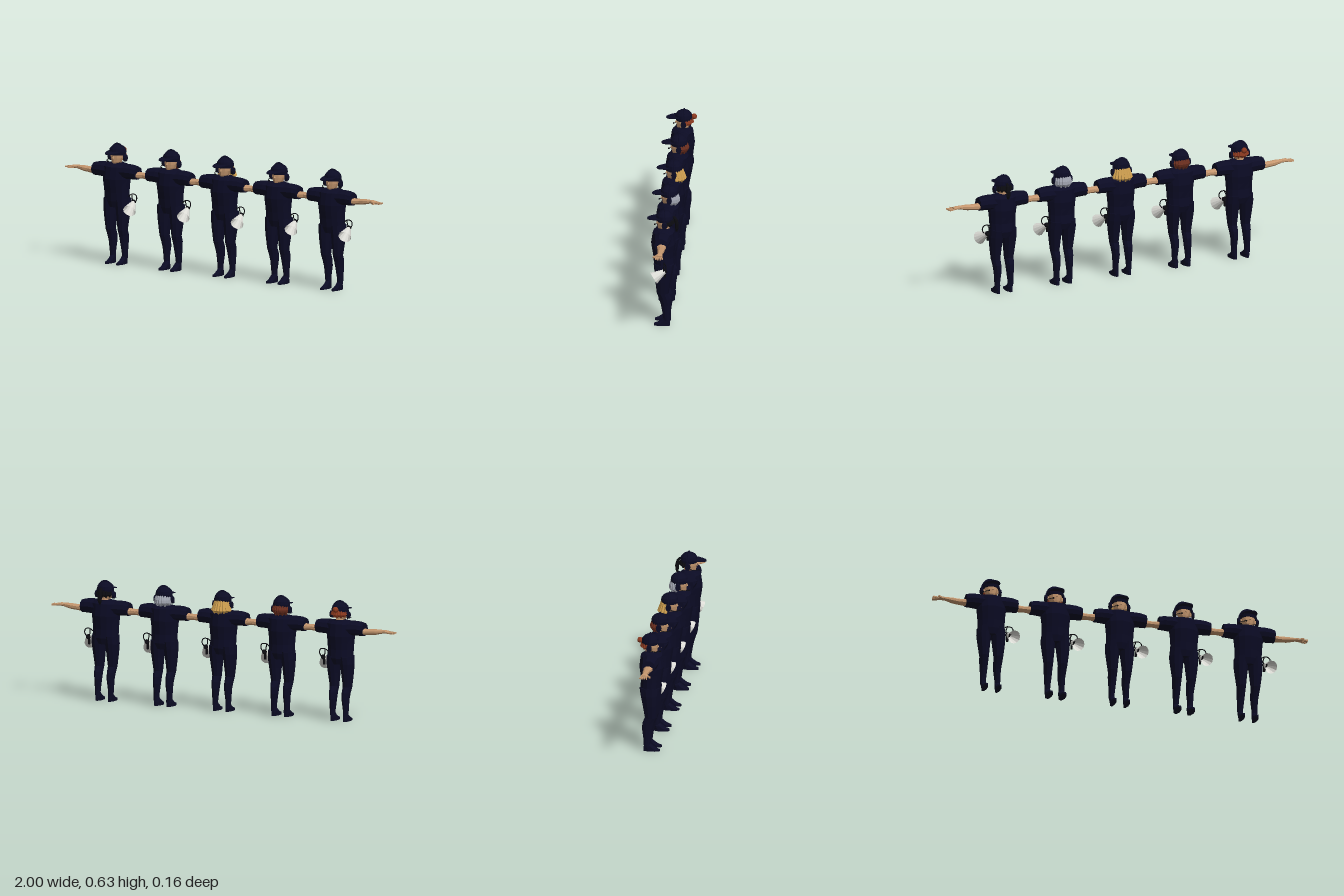
import * as THREE from 'three';

const mat = (name, color, side = THREE.FrontSide) => {
  const m = new THREE.MeshStandardMaterial({ color, side });
  m.name = name;
  return m;
};

// Faceted normals for the low-poly look
function flat(geo) {
  const g = geo.index ? geo.toNonIndexed() : geo;
  g.computeVertexNormals();
  return g;
}

// Closed tube of elliptical rings [y, centreX, centreZ, radiusX, radiusZ], listed bottom to top
function loft(rings, sides = 10) {
  const pos = [], idx = [];
  rings.forEach(([y, cx, cz, rx, rz]) => {
    for (let i = 0; i < sides; i++) {
      const a = ((i + 0.5) / sides) * Math.PI * 2;
      pos.push(cx + rx * Math.cos(a), y, cz + rz * Math.sin(a));
    }
  });
  for (let j = 0; j < rings.length - 1; j++)
    for (let i = 0; i < sides; i++) {
      const a = j * sides + i, b = j * sides + (i + 1) % sides;
      idx.push(a, a + sides, b, b, a + sides, b + sides);
    }
  const last = (rings.length - 1) * sides;
  for (let i = 1; i < sides - 1; i++) idx.push(0, i, i + 1, last, last + i + 1, last + i);
  const g = new THREE.BufferGeometry();
  g.setAttribute('position', new THREE.Float32BufferAttribute(pos, 3));
  g.setIndex(idx);
  return flat(g);
}

// The same along x; rings are [x, centreY, centreZ, radiusY, radiusZ], s is the side
const loftX = (rings, s, sides) =>
  loft(rings.map(([x, cy, cz, ry, rz]) => [x, -s * cy, cz, ry, rz]), sides).rotateZ(-s * Math.PI / 2);

const wire = (points, r) => new THREE.TubeGeometry(
  new THREE.CatmullRomCurve3(points.map(p => new THREE.Vector3(...p))), 12, r, 5);

export function createModel() {
  const navy = mat('navy cloth', 0x0b0b24);
  const black = mat('black', 0x0b0b10);
  const skin = mat('skin', 0xc4966e);
  const white = mat('megaphone white', 0xdcdcd6, THREE.DoubleSide);
  const red = mat('red hair', 0x8c3a20);
  const auburn = mat('auburn hair', 0x6e3020);
  const blond = mat('blond hair', 0xd0a050);
  const grey = mat('grey hair', 0xa4a8b4);

  const add = (parent, name, geo, material, x = 0, y = 0, z = 0) => {
    const m = new THREE.Mesh(geo, material);
    m.name = name;
    m.position.set(x, y, z);
    parent.add(m);
    return m;
  };
  const ball = (parent, name, material, x, y, z, rx, ry, rz) =>
    add(parent, name, flat(new THREE.SphereGeometry(1, 10, 7).scale(rx, ry, rz)), material, x, y, z);

  function addLimbs(f, s, shoeWidth) {
    // Trouser leg and shoe
    add(f, 'leg', loft([
      [0.03, s * 0.038, -0.022, 0.014, 0.017],
      [0.06, s * 0.038, -0.021, 0.015, 0.019],
      [0.115, s * 0.036, -0.020, 0.019, 0.028],
      [0.15, s * 0.037, -0.014, 0.022, 0.032],
      [0.18, s * 0.038, -0.002, 0.024, 0.031],
      [0.25, s * 0.039, -0.004, 0.032, 0.041],
      [0.30, s * 0.039, -0.007, 0.037, 0.048],
      [0.34, s * 0.036, -0.008, 0.037, 0.053]]), navy);
    const w = 0.0145 * shoeWidth, x = s * 0.036;
    add(f, 'shoe', loft([
      [0, x, 0.0025, w, 0.045], [0.010, x, 0.0025, w, 0.045],
      [0.018, x, -0.008, w, 0.034], [0.027, x, -0.014, w, 0.026],
      [0.042, x, -0.022, 0.013, 0.016]], 8), navy);

    // Short sleeve
    add(f, 'sleeve', loftX([
      [0.03, 0.482, -0.003, 0.041, 0.046], [0.075, 0.486, -0.001, 0.039, 0.044],
      [0.11, 0.486, 0, 0.037, 0.040], [0.137, 0.483, 0, 0.034, 0.035]], s), navy);
    // Bare arm and palm
    add(f, 'arm', loftX([
      [0.12, 0.472, -0.002, 0.018, 0.028], [0.15, 0.472, -0.002, 0.016, 0.022],
      [0.18, 0.474, -0.004, 0.015, 0.018], [0.205, 0.476, -0.003, 0.015, 0.018],
      [0.25, 0.481, -0.002, 0.009, 0.011]], s, 8), skin);
    add(f, 'palm', loftX([
      [0.245, 0.481, -0.002, 0.009, 0.011], [0.262, 0.481, -0.001, 0.009, 0.017],
      [0.284, 0.479, -0.002, 0.007, 0.018]], s, 8), skin);
    // Fingers fan out, thumb to the front
    for (let i = 0; i < 4; i++) {
      const z = 0.012 - i * 0.009, angle = -0.18 + i * 0.14;
      const fin = add(f, 'finger', flat(new THREE.BoxGeometry(i === 3 ? 0.026 : 0.034, 0.007, 0.007)),
        skin, s * 0.297, 0.477, z * 1.08);
      fin.rotation.y = s * angle;
    }
    const thumb = add(f, 'thumb', flat(new THREE.BoxGeometry(0.032, 0.008, 0.009)), skin, s * 0.275, 0.477, 0.02);
    thumb.rotation.y = -s * 0.6;

    // Ear cup of the headset
    const cup = add(f, 'earCup', flat(new THREE.CylinderGeometry(0.014, 0.016, 0.013, 10)
      .rotateZ(-s * Math.PI / 2).scale(1, 1.25, 0.9)), navy, s * 0.049, 0.553, -0.011);
    cup.userData.side = s;
    add(f, 'ear', flat(new THREE.BoxGeometry(0.008, 0.018, 0.01)), skin, s * 0.037, 0.555, -0.011);
  }

  function addHead(f) {
    add(f, 'neck', loft([[0.5, 0, -0.012, 0.024, 0.026], [0.54, 0, -0.012, 0.021, 0.024]], 8), skin);
    add(f, 'head', loft([
      [0.523, 0, 0.004, 0.016, 0.020], [0.532, 0, -0.003, 0.026, 0.030],
      [0.552, 0, -0.007, 0.034, 0.036], [0.575, 0, -0.008, 0.037, 0.037],
      [0.592, 0, -0.008, 0.037, 0.037]], 10), skin);
    const nose = add(f, 'nose', flat(new THREE.ConeGeometry(0.006, 0.018, 4)), skin, 0, 0.559, 0.029);
    nose.rotation.x = -0.15;
    for (const s of [-1, 1])
      add(f, 'eye', new THREE.BoxGeometry(0.011, 0.004, 0.004), black, s * 0.013, 0.57, 0.0255);

    // Cap dome, button and brim
    add(f, 'capDome', loft([
      [0.567, 0, -0.011, 0.043, 0.042], [0.582, 0, -0.010, 0.045, 0.045],
      [0.598, 0, -0.010, 0.041, 0.042], [0.611, 0, -0.010, 0.030, 0.031],
      [0.618, 0, -0.010, 0.017, 0.018], [0.620, 0, -0.010, 0.004, 0.004]], 14), navy);
    const brim = new THREE.Shape();
    brim.moveTo(-0.04, 0);
    brim.bezierCurveTo(-0.04, 0.03, -0.028, 0.07, 0, 0.07);
    brim.bezierCurveTo(0.028, 0.07, 0.04, 0.03, 0.04, 0);
    const brimMesh = add(f, 'capBrim', flat(new THREE.ExtrudeGeometry(brim,
      { depth: 0.004, bevelEnabled: false, curveSegments: 6 })), navy, 0, 0.588, 0.012);
    brimMesh.rotation.x = Math.PI / 2 + 0.12;

    // Headset band and microphone boom
    add(f, 'headband', flat(new THREE.TorusGeometry(0.05, 0.004, 6, 16, Math.PI).scale(1, 1.42, 1)),
      navy, 0, 0.551, -0.011);
    add(f, 'micBoom', wire([[-0.05, 0.545, -0.005], [-0.046, 0.537, 0.02], [-0.026, 0.535, 0.042]], 0.0018), black);
    ball(f, 'microphone', black, -0.023, 0.535, 0.044, 0.005, 0.004, 0.005);
  }

  // Row of vertical locks round the back of the head
  function addLocks(f, material, bottom, spread) {
    for (let i = 0; i < 9; i++) {
      const a = Math.PI * (1.08 + i * 0.105);
      const at = (r, y, w) => [y, Math.cos(a) * r * 0.95, -0.012 + Math.sin(a) * r, w, w];
      add(f, 'hairLock', loft([
        at(spread * 0.85, bottom + (i % 2) * 0.005, 0.004), at(spread, bottom + 0.018, 0.009),
        at(0.041, 0.555, 0.010), at(0.034, 0.58, 0.008)], 6), material);
    }
  }

  function addMegaphone(f) {
    const from = new THREE.Vector3(0.095, 0.325, -0.018), to = new THREE.Vector3(0.111, 0.29, 0.04);
    const g = new THREE.Group();
    g.name = 'megaphone';
    g.position.copy(from);
    const dir = to.clone().sub(from), len = dir.length();
    g.quaternion.setFromUnitVectors(new THREE.Vector3(0, 1, 0), dir.normalize());
    f.add(g);
    add(g, 'horn', flat(new THREE.CylinderGeometry(0.034, 0.011, len, 12, 1, true)), white, 0, len / 2, 0);
    add(g, 'driver', flat(new THREE.CylinderGeometry(0.012, 0.012, 0.012, 10)), black, 0, -0.002, 0);
    add(f, 'grip', flat(new THREE.BoxGeometry(0.009, 0.035, 0.01)), black, 0.09, 0.305, -0.018);
    // Carrying strap looped at the hip
    add(f, 'strap', wire([[0.07, 0.355, -0.01], [0.088, 0.368, -0.012], [0.113, 0.366, -0.014],
      [0.12, 0.345, -0.012], [0.108, 0.326, -0.012]], 0.0028), black);
    add(f, 'strap', wire([[0.088, 0.366, -0.012], [0.084, 0.345, -0.022], [0.092, 0.326, -0.02]], 0.0028), black);
  }

  const hairStyles = [
    f => {
      addLocks(f, red, 0.54, 0.038);
      ball(f, 'hairBun', red, 0, 0.585, -0.063, 0.016, 0.015, 0.015);
    },
    f => addLocks(f, auburn, 0.525, 0.038),
    f => addLocks(f, blond, 0.508, 0.053),
    f => addLocks(f, grey, 0.52, 0.043),
    f => {
      addLocks(f, black, 0.54, 0.038);
      add(f, 'ponytail', loft([
        [0.508, 0, -0.070, 0.004, 0.004], [0.525, 0, -0.072, 0.010, 0.009],
        [0.55, 0, -0.072, 0.012, 0.010], [0.575, 0, -0.066, 0.010, 0.009],
        [0.59, 0, -0.055, 0.006, 0.007]], 8), black);
    }];

  const model = new THREE.Group();
  model.name = 'crewRow';
  hairStyles.forEach((addHair, i) => {
    const f = new THREE.Group();
    f.name = 'crewMember' + (i + 1);
    f.position.x = (i - 2) * 0.3425;
    model.add(f);
    // Shirt down to the seat of the trousers
    add(f, 'torso', loft([
      [0.298, 0, -0.007, 0.045, 0.044], [0.33, 0, -0.008, 0.071, 0.054],
      [0.375, 0, -0.004, 0.071, 0.054], [0.41, 0, -0.003, 0.073, 0.059],
      [0.445, 0, -0.003, 0.077, 0.064], [0.508, 0, -0.004, 0.078, 0.055],
      [0.522, 0, -0.006, 0.066, 0.032], [0.527, 0, -0.010, 0.030, 0.027]], 14), navy);
    for (const s of [-1, 1]) addLimbs(f, s, i % 2 ? 1.3 : 1);
    addHead(f);
    addHair(f);
    addMegaphone(f);
  });
  return model;
}
